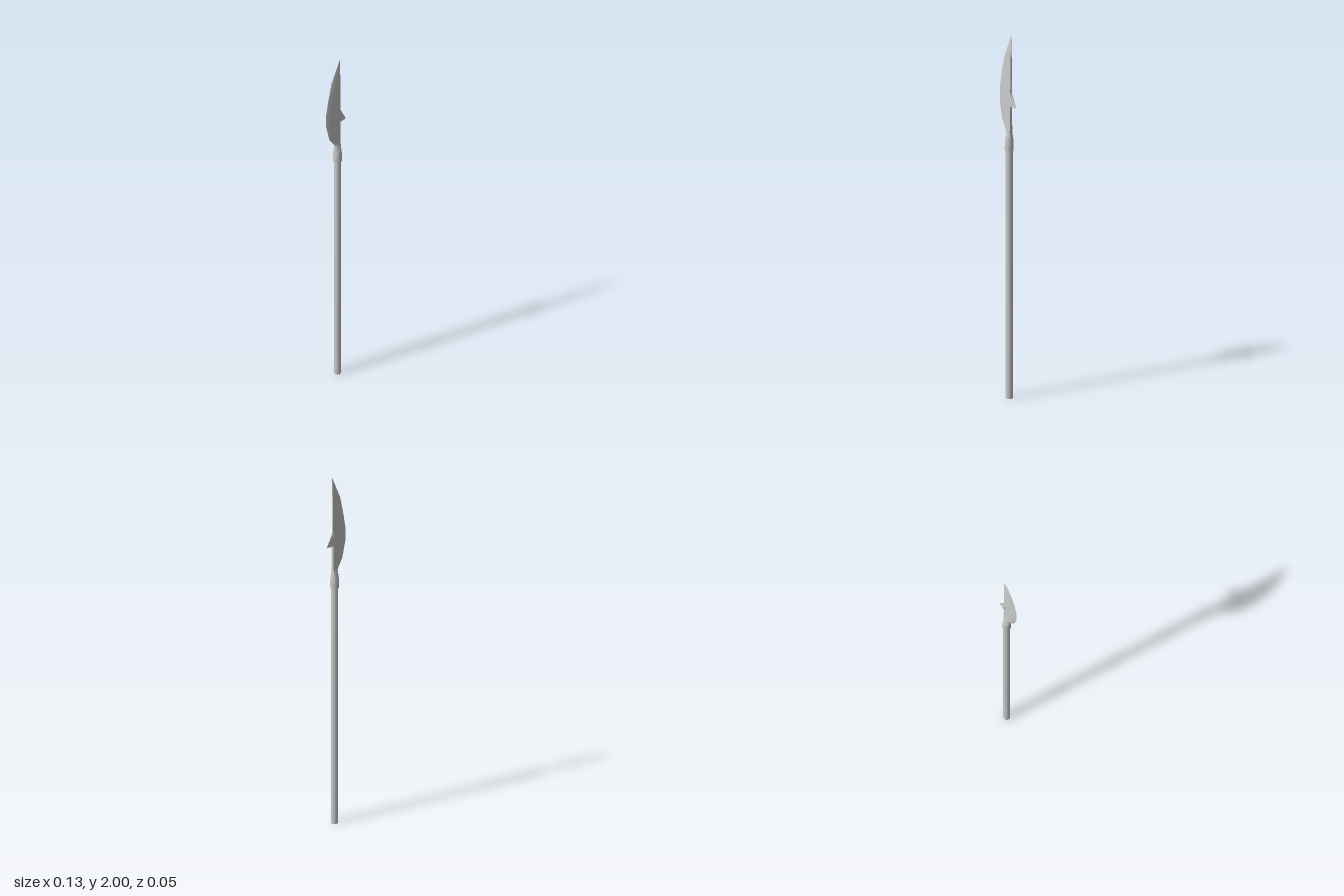
import * as THREE from 'three';
import { toCreasedNormals } from 'three/addons/utils/BufferGeometryUtils.js';
import { ConvexGeometry } from 'three/addons/geometries/ConvexGeometry.js';

const AXIS = 0.009; // x of the pole's axis

// Eight-point cross-sections as [fraction of width from the cutting edge, fraction of half thickness]
const ROUND = Array.from({ length: 8 }, (_, k) => {
  const a = (k * Math.PI) / 4;
  return [0.5 + 0.5 * Math.cos(a), Math.sin(a)];
});
const BLADE = [[1, 0], [0.97, 0.8], [0.6, 1], [0.22, 0.85], [0, 0], [0.22, -0.85], [0.6, -1], [0.97, -0.8]];

// Skins rows of [y, left x, right x, half thickness, blend from round to blade]
function loft(rows) {
  const pos = [], index = [];
  rows.forEach(([y, l, r, h, t], i) => {
    for (let k = 0; k < 8; k++) {
      const fx = THREE.MathUtils.lerp(ROUND[k][0], BLADE[k][0], t);
      const fz = THREE.MathUtils.lerp(ROUND[k][1], BLADE[k][1], t);
      pos.push(l + (r - l) * fx, y, h * fz);
      if (i === rows.length - 1) continue;
      const a = i * 8 + k, b = i * 8 + ((k + 1) % 8);
      index.push(a, a + 8, b, b, a + 8, b + 8);
    }
  });
  const g = new THREE.BufferGeometry();
  g.setAttribute('position', new THREE.Float32BufferAttribute(pos, 3));
  g.setIndex(index);
  return toCreasedNormals(g, 0.9);
}

export function createModel() {
  const model = new THREE.Group();
  model.name = 'polearm';
  const material = new THREE.MeshStandardMaterial({ color: 0xcccccc });
  const add = (name, geometry) => {
    const mesh = new THREE.Mesh(geometry, material);
    mesh.name = name;
    model.add(mesh);
    return mesh;
  };

  // Long wooden pole
  add('shaft', new THREE.CylinderGeometry(0.0185, 0.0185, 1.38, 8).rotateY(Math.PI / 2))
    .position.set(AXIS, 0.69, 0);

  // Round socket with a closed underside, narrowing into the flat neck
  add('socket', loft([
    [1.36, AXIS, AXIS, 0, 0],
    [1.36, -0.015, 0.032, 0.0235, 0],
    [1.415, -0.014, 0.031, 0.0225, 0],
    [1.44, -0.011, 0.028, 0.017, 0.2],
    [1.465, -0.011, 0.026, 0.012, 0.6],
  ]));

  // Curved blade: cutting edge on -x, straight spine on +x
  add('blade', loft([
    [1.465, -0.011, 0.026, 0.012, 0.6],
    [1.515, -0.045, 0.026, 0.009, 1],
    [1.605, -0.066, 0.026, 0.008, 1],
    [1.685, -0.066, 0.026, 0.007, 1],
    [1.78, -0.05, 0.026, 0.006, 1],
    [1.87, -0.03, 0.026, 0.005, 1],
    [2.0, 0.026, 0.026, 0, 1],
  ]));

  // Hook on the spine, tapering to a point
  add('hook', new ConvexGeometry([
    [0.02, 1.605, 0.008], [0.02, 1.605, -0.008],
    [0.02, 1.69, 0.005], [0.02, 1.69, -0.005],
    [0.064, 1.605, 0],
  ].map((p) => new THREE.Vector3(...p))));

  return model;
}
